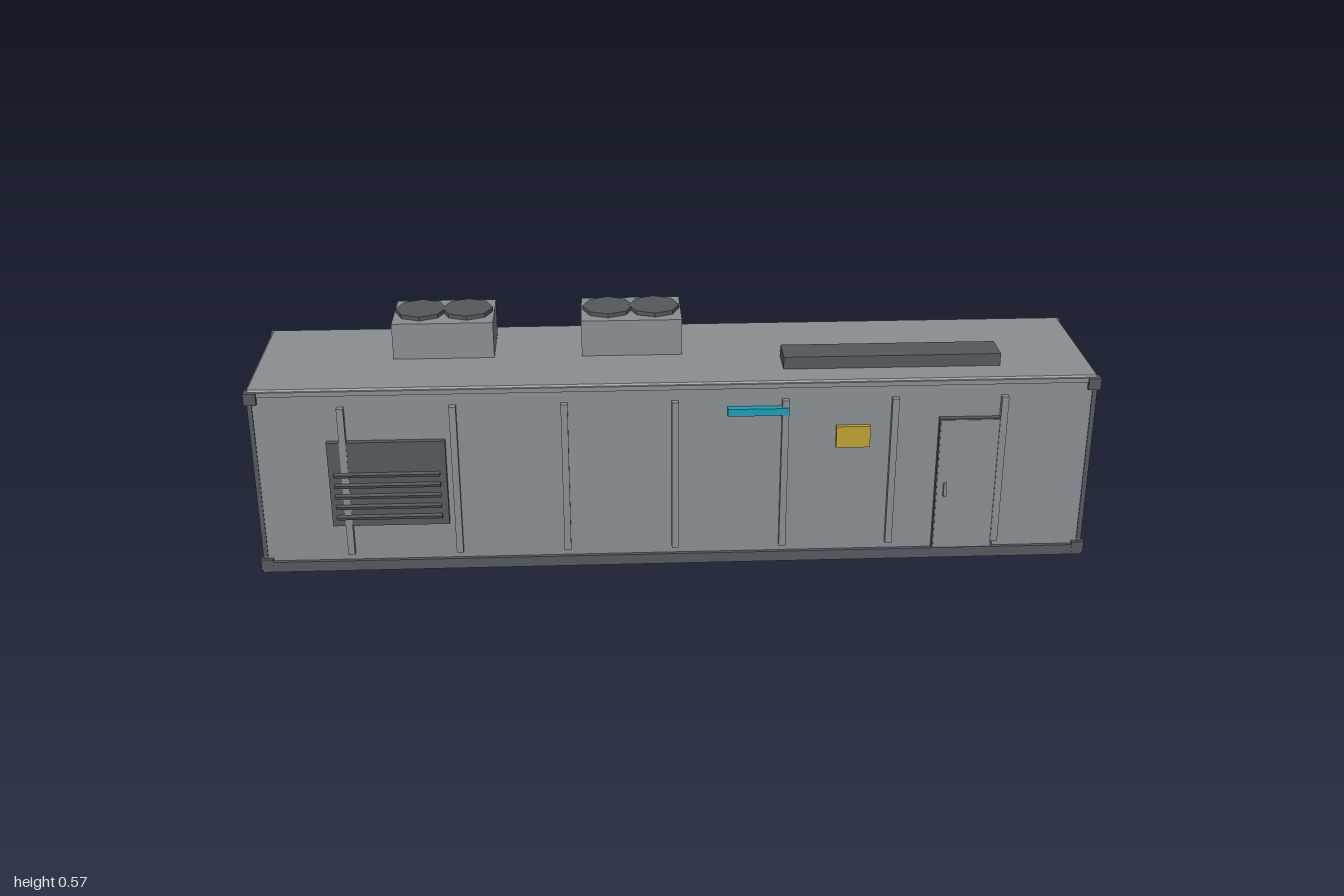
import * as THREE from 'three';

const mat = (name, color) => {
  const m = new THREE.MeshStandardMaterial({ color });
  m.name = name;
  return m;
};

export function createModel() {
  const grey = mat('panel grey', 0x8a8f93);
  const dark = mat('dark steel', 0x55595d);
  const yellow = mat('sign yellow', 0xc0a235);
  const teal = mat('lamp teal', 0x1f9db5);
  const model = new THREE.Group();
  model.name = 'equipmentContainer';

  // Box given by its min and max along each axis
  const box = (name, material, [x0, x1], [y0, y1], [z0, z1], parent = model) => {
    const mesh = new THREE.Mesh(new THREE.BoxGeometry(x1 - x0, y1 - y0, z1 - z0), material);
    mesh.position.set((x0 + x1) / 2, (y0 + y1) / 2, (z0 + z1) / 2);
    mesh.name = name;
    parent.add(mesh);
    return mesh;
  };
  const zc = -0.005; // middle of the container in z

  // Shell: bevelled section swept along x
  const hw = 0.194, b = 0.006, y0 = 0.022, y1 = 0.467;
  const section = new THREE.Shape([
    [-hw, y0], [hw, y0], [hw, y1 - b], [hw - b, y1], [b - hw, y1], [-hw, y1 - b],
  ].map(([x, y]) => new THREE.Vector2(x, y)));
  const shellGeo = new THREE.ExtrudeGeometry(section, { depth: 1.966, bevelEnabled: false });
  shellGeo.translate(0, 0, -0.983).rotateY(Math.PI / 2).translate(0, 0, zc);
  const shell = new THREE.Mesh(shellGeo, grey);
  shell.name = 'shell';
  model.add(shell);

  // Base skid
  box('baseSkid', dark, [-0.988, 0.988], [0, 0.026], [zc - 0.203, zc + 0.203]);

  // Corner castings, posts and edge rails
  for (const sx of [-1, 1]) {
    for (const sz of [-1, 1]) {
      const span = (a, c, s, o = 0) => (s > 0 ? [o + a, o + c] : [o - c, o - a]);
      for (const y of [0.006, 0.435]) {
        box('cornerCasting', dark, span(0.962, 0.991, sx), [y, y + 0.028], span(0.176, 0.204, sz, zc));
      }
      box('cornerPost', dark, span(0.974, 0.985, sx), [0.034, 0.435], span(0.188, 0.197, sz, zc));
    }
    box('endSill', dark, sx > 0 ? [0.97, 0.987] : [-0.987, -0.97], [0.026, 0.032], [zc - 0.176, zc + 0.176]);
    box('endHeader', grey, sx > 0 ? [0.97, 0.987] : [-0.987, -0.97], [0.447, 0.463], [zc - 0.176, zc + 0.176]);
  }
  for (const sz of [-1, 1]) {
    const z = zc + sz * 0.194;
    box('topRail', grey, [-0.962, 0.962], [0.452, 0.463], [z - 0.004, z + 0.004]);
    // Vertical side ribs
    for (let i = -3; i <= 3; i++) {
      const x = i * 0.257 - 0.003;
      const zr = sz > 0 ? [0.185, 0.2035] : [-0.213, -0.195];
      box('sideRib', grey, [x - 0.008, x + 0.008], [0.045, 0.424], zr);
    }
  }

  // End doors: panel, two ribs and a centre handle
  for (const s of [-1, 1]) {
    const out = (a, c) => (s > 0 ? [a, c] : [-c, -a]);
    box('endPanel', grey, out(0.98, 0.986), [0.041, 0.443], [-0.177, 0.166]);
    for (const z of [0.06, -0.069]) {
      box('endRib', grey, out(0.98, 0.994), [0.065, 0.42], [z - 0.004, z + 0.004]);
    }
    box('endHandle', dark, out(0.98, 1), [0.186, 0.266], [-0.0075, -0.0015]);
  }

  // Louvred vent on the front
  box('ventPanel', dark, [-0.812, -0.538], [0.122, 0.338], [0.185, 0.202]);
  for (let i = 0; i < 5; i++) {
    const y = 0.146 + i * 0.0275;
    const slat = box('ventSlat', dark, [-0.8, -0.553], [y - 0.004, y + 0.004], [0.201, 0.21]);
    slat.rotation.x = 0.35;
  }

  // Service door on the front
  box('doorFrame', dark, [0.617, 0.765], [0.028, 0.37], [0.185, 0.2025]);
  box('doorPanel', grey, [0.62, 0.757], [0.032, 0.367], [0.2, 0.204]);
  box('doorHandle', grey, [0.635, 0.642], [0.171, 0.205], [0.2, 0.213]);

  // Sign and lamp on the front
  box('warningSign', yellow, [0.375, 0.455], [0.3, 0.354], [0.186, 0.2]);
  box('lampStrip', teal, [0.119, 0.262], [0.388, 0.406], [0.186, 0.206]);

  // Rooftop cooling units, each with two fans
  for (const x of [-0.547, -0.098]) {
    const unit = new THREE.Group();
    unit.name = 'coolingUnit';
    model.add(unit);
    box('unitHousing', grey, [x - 0.12, x + 0.12], [0.46, 0.556], [-0.15, 0.01], unit);
    for (const s of [-1, 1]) {
      const fan = new THREE.Mesh(new THREE.CylinderGeometry(0.061, 0.061, 0.015, 8).toNonIndexed(), dark);
      fan.geometry.computeVertexNormals();
      fan.position.set(x + s * 0.056, 0.5585 + s * 0.0002, -0.07);
      fan.name = 'fan';
      unit.add(fan);
    }
  }

  // Roof duct
  box('roofDuct', dark, [0.256, 0.77], [0.46, 0.497], [0.035, 0.115]);

  return model;
}
